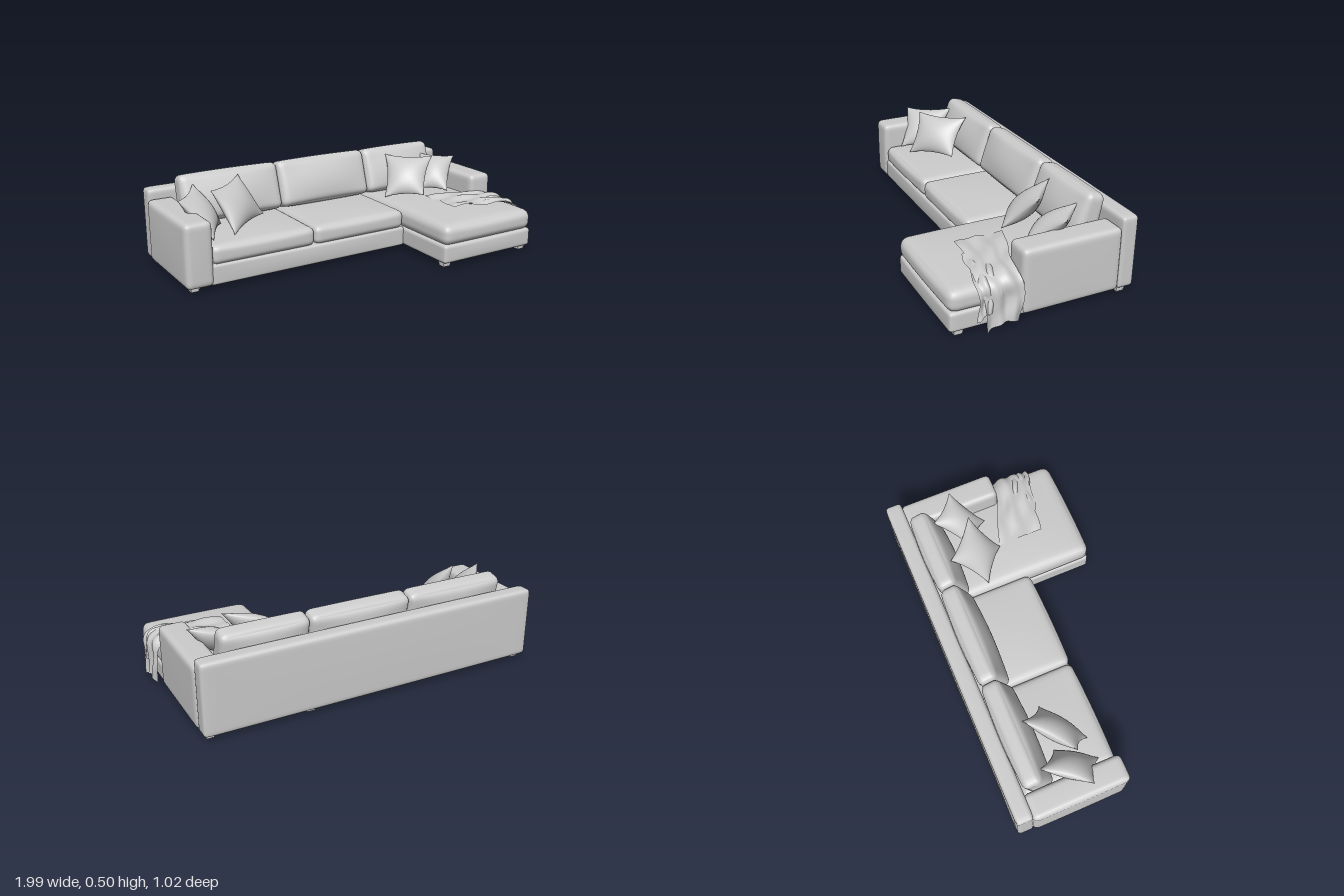
import * as THREE from 'three';
import { mergeVertices } from 'three/addons/utils/BufferGeometryUtils.js';
import { ParametricGeometry } from 'three/addons/geometries/ParametricGeometry.js';

const fabric = new THREE.MeshStandardMaterial({ color: 0xcccccc });
const cloth = new THREE.MeshStandardMaterial({ color: 0xcccccc, side: THREE.DoubleSide });

// Smooth-shade a geometry after its vertices were moved by a rule
function reshape(geo, rule) {
  geo.deleteAttribute('normal');
  geo.deleteAttribute('uv');
  const p = geo.attributes.position;
  const v = new THREE.Vector3();
  for (let i = 0; i < p.count; i++) {
    rule(v.fromBufferAttribute(p, i));
    p.setXYZ(i, v.x, v.y, v.z);
  }
  const merged = mergeVertices(geo, 1e-5);
  merged.computeVertexNormals();
  return merged;
}

// Upholstered block: rounded edges, vertices gathered near the edges,
// faces swollen by puff [x, y, z]
function softBox(w, h, d, r, puff = [0, 0, 0], n = 22) {
  const half = new THREE.Vector3(w / 2, h / 2, d / 2);
  const inner = half.clone().subScalar(r);
  const core = new THREE.Vector3();
  return reshape(new THREE.BoxGeometry(2, 2, 2, n, n, n), (v) => {
    const q = ['x', 'y', 'z'].map((k) => Math.sin((v[k] * Math.PI) / 2));
    v.set(...q).multiply(half);
    core.copy(v).clamp(inner.clone().negate(), inner);
    v.sub(core).setLength(r).add(core);
    const f = q.map((a) => 1 - a * a);
    v.x += puff[0] * q[0] * f[1] * f[2];
    v.y += puff[1] * q[1] * f[0] * f[2];
    v.z += puff[2] * q[2] * f[0] * f[1];
  });
}

export function createModel() {
  const sofa = new THREE.Group();
  const add = (name, geo, mat = fabric) => {
    const m = new THREE.Mesh(geo, mat);
    m.name = name;
    sofa.add(m);
    return m;
  };
  // Soft block given by its limits on each axis
  const block = (name, [x0, x1], [y0, y1], [z0, z1], r, puff) =>
    add(name, softBox(x1 - x0, y1 - y0, z1 - z0, r, puff))
      .position.set((x0 + x1) / 2, (y0 + y1) / 2, (z0 + z1) / 2);

  // Frame
  block('backrest', [-0.98, 0.955], [0.025, 0.42], [-0.51, -0.415], 0.022, [0, 0.003, 0.003]);
  block('rightArm', [-0.99, -0.84], [0.025, 0.37], [-0.42, 0.125], 0.028, [0.006, 0.002, 0.004]);
  block('leftArm', [0.81, 0.96], [0.025, 0.37], [-0.42, 0.125], 0.028, [0.002, 0.002, 0.004]);
  block('seatBase', [-0.86, 0.335], [0.025, 0.135], [-0.42, 0.118], 0.014, [0, 0, 0.006]);
  block('chaiseBase', [0.33, 0.95], [0.025, 0.13], [-0.42, 0.498], 0.018, [0, 0, 0.006]);

  // Seat cushions
  block('seatCushionRight', [-0.845, -0.25], [0.128, 0.233], [-0.41, 0.118], 0.035, [0, 0.014, 0.008]);
  block('seatCushionMiddle', [-0.25, 0.332], [0.128, 0.233], [-0.41, 0.118], 0.035, [0, 0.014, 0.008]);
  block('chaiseCushion', [0.33, 0.953], [0.122, 0.238], [-0.41, 0.5], 0.045, [0, 0.022, 0.008]);

  // Back cushions: leaning, thicker at the bottom
  for (const [x0, x1, name] of [[-0.84, -0.252, 'Right'], [-0.25, 0.33, 'Middle'], [0.332, 0.81, 'Left']]) {
    const geo = softBox(x1 - x0, 0.265, 0.12, 0.035, [0, 0.004, 0.028]);
    const m = add('backCushion' + name, reshape(geo, (v) => { v.z *= 1 - v.y * 1.1; }));
    m.position.set((x0 + x1) / 2, 0.366, -0.332);
    m.rotation.x = -0.26;
  }

  // Throw pillows from corners: top left, top right, bottom right, bottom left
  const pillows = [
    [[-0.945, 0.44, -0.07], [-0.77, 0.455, -0.3], [-0.67, 0.25, -0.17], [-0.8, 0.235, 0.035]],
    [[-0.76, 0.465, -0.08], [-0.51, 0.475, -0.285], [-0.425, 0.27, -0.15], [-0.68, 0.24, 0.025]],
    [[0.475, 0.465, -0.29], [0.69, 0.465, -0.1], [0.54, 0.27, 0.025], [0.36, 0.25, -0.12]],
    [[0.74, 0.44, -0.295], [0.89, 0.435, -0.14], [0.73, 0.265, 0.005], [0.61, 0.265, -0.13]],
  ];
  pillows.forEach((corners, i) => {
    const [tl, tr, br, bl] = corners.map((c) => new THREE.Vector3(...c));
    const normal = tr.clone().sub(bl).cross(tl.clone().sub(br)).normalize();
    const top = new THREE.Vector3(), bottom = new THREE.Vector3();
    add('pillow' + (i + 1), reshape(new THREE.BoxGeometry(2, 2, 2, 20, 20, 1), (v) => {
      const u = Math.sin((v.x * Math.PI) / 2), w = Math.sin((v.y * Math.PI) / 2);
      const a = u * (1 - 0.13 * (1 - w * w)), b = w * (1 - 0.13 * (1 - u * u));
      const t = 0.058 * v.z * Math.pow(Math.max(0, (1 - u * u) * (1 - w * w)), 0.6);
      top.lerpVectors(tl, tr, (a + 1) / 2);
      bottom.lerpVectors(bl, br, (a + 1) / 2);
      v.lerpVectors(bottom, top, (b + 1) / 2).addScaledVector(normal, t);
    }));
  });

  // Blanket strip draped over the chaise edge: path in x/y, edges in z
  const drape = (name, path, near, far, phase) => {
    const curve = new THREE.CatmullRomCurve3(path.map(([x, y]) => new THREE.Vector3(x, y, 0)));
    const edge = (e) => new THREE.CatmullRomCurve3(e.map((z, i) => new THREE.Vector3(i, z, 0)));
    const e0 = edge(near), e1 = edge(far);
    add(name, new ParametricGeometry((s, t, out) => {
      const p = curve.getPointAt(s), d = curve.getTangentAt(s);
      const fold = 0.007 * (1 + Math.sin(t * 15 + s * 5 + phase)) * (0.5 + 0.5 * s)
        + 0.004 * (1 + Math.sin(s * 17 - t * 7 + phase));
      const z = THREE.MathUtils.lerp(e0.getPoint(s).y, e1.getPoint(s).y, t);
      out.set(p.x - d.y * fold, p.y + d.x * fold + 0.02 * s * s * Math.sin(t * 4), z + 0.006 * Math.sin(s * 14));
    }, 60, 40), cloth);
  };
  drape('blanket',
    [[0.55, 0.256], [0.66, 0.263], [0.8, 0.262], [0.91, 0.252], [0.958, 0.22], [0.966, 0.14], [0.976, 0.018]],
    [0.02, 0.06, 0.12, 0.13, 0.13, 0.15], [0.29, 0.3, 0.325, 0.35, 0.335, 0.32], 0);
  drape('blanketUnderFold',
    [[0.68, 0.255], [0.8, 0.256], [0.91, 0.247], [0.956, 0.215], [0.961, 0.15], [0.967, 0.08]],
    [0.2, 0.22, 0.24, 0.24], [0.31, 0.345, 0.365, 0.365], 2);

  // Feet: a small block with a wider plate on top
  for (const [x, z] of [[-0.935, 0.062], [0.37, 0.447], [0.912, 0.447], [-0.935, -0.447], [0.37, -0.447], [0.912, -0.447]]) {
    add('foot', new THREE.BoxGeometry(0.042, 0.016, 0.042)).position.set(x, 0.008, z);
    add('footPlate', new THREE.BoxGeometry(0.048, 0.016, 0.046)).position.set(x, 0.021, z);
  }
  return sofa;
}
